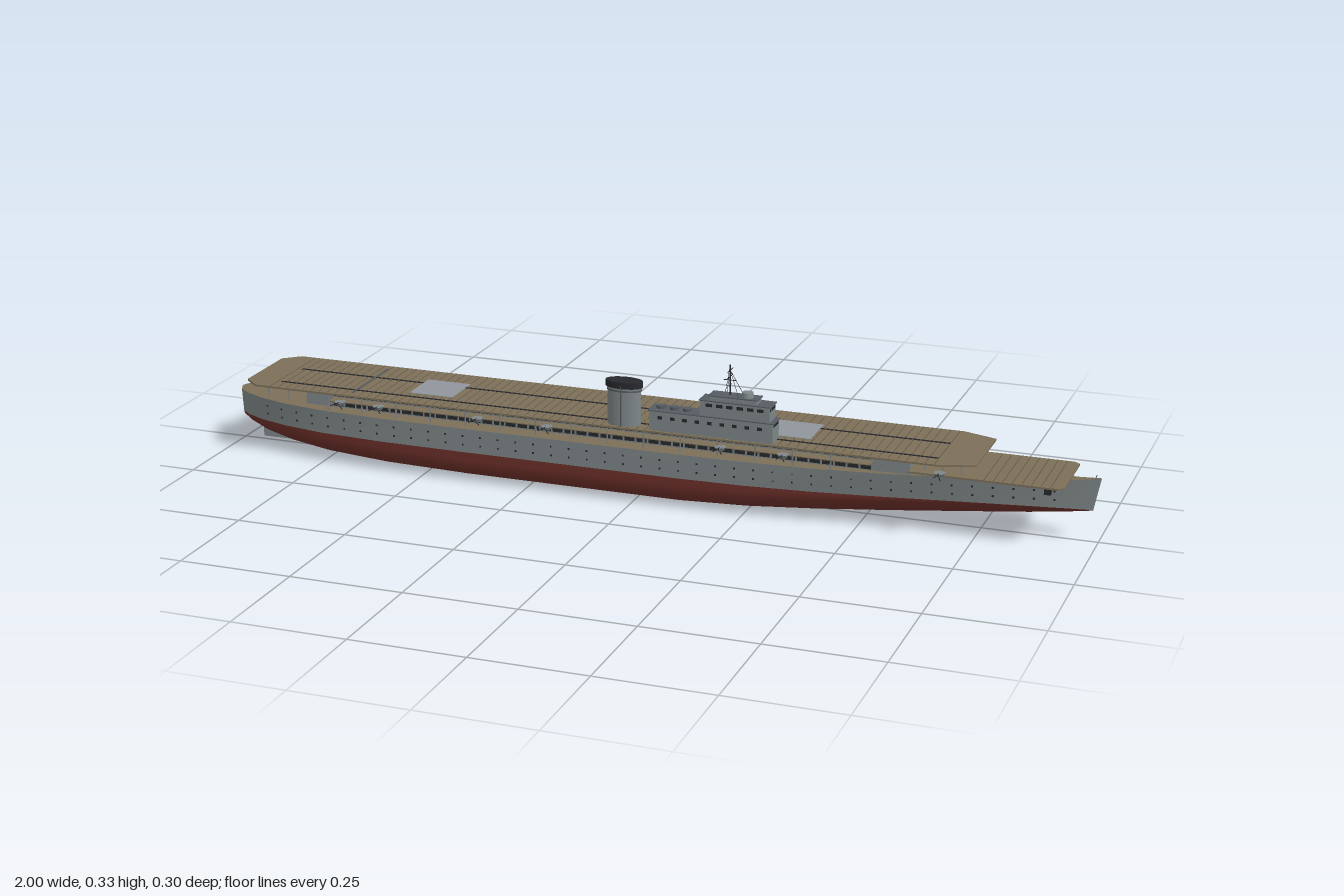
import * as THREE from 'three';

const mat = (name, color, extra = {}) => Object.assign(new THREE.MeshStandardMaterial({ color, ...extra }), { name });

export function createModel() {
  const grey = mat('hull grey', 0x7f8788, { side: THREE.DoubleSide });
  const red = mat('bottom red', 0x6e302a, { side: THREE.DoubleSide });
  const tan = mat('deck planking', 0x7c6f58, { side: THREE.DoubleSide });
  const seam = mat('deck seam', 0x5d5342);
  const pale = mat('lift grey', 0x8f969b);
  const roof = mat('roof grey', 0x565c63);
  const dark = mat('dark openings', 0x26282b);

  const ship = new THREE.Group();
  ship.name = 'carrier';
  const add = (name, geo, material, x = 0, y = 0, z = 0, parent = ship) => {
    const m = new THREE.Mesh(geo, material);
    m.name = name;
    m.position.set(x, y, z);
    parent.add(m);
    return m;
  };
  // box given by its extents
  const box = (name, m, x0, x1, y0, y1, z0, z1) =>
    add(name, new THREE.BoxGeometry(x1 - x0, y1 - y0, z1 - z0), m, (x0 + x1) / 2, (y0 + y1) / 2, (z0 + z1) / 2);
  const rod = (name, m, a, b, r) => {
    const A = new THREE.Vector3(...a), B = new THREE.Vector3(...b);
    const mesh = add(name, new THREE.CylinderGeometry(r, r, A.distanceTo(B), 6), m);
    mesh.position.copy(A).lerp(B, 0.5);
    mesh.quaternion.setFromUnitVectors(new THREE.Vector3(0, 1, 0), B.sub(A).normalize());
    return mesh;
  };
  // skin stretched over equal-length rows of points
  const loft = (rows) => {
    const n = rows[0].length, idx = [];
    for (let i = 0; i < rows.length - 1; i++) for (let j = 0; j < n - 1; j++) {
      const a = i * n + j, b = a + n;
      idx.push(a, a + 1, b, a + 1, b + 1, b);
    }
    const g = new THREE.BufferGeometry();
    g.setAttribute('position', new THREE.Float32BufferAttribute(rows.flat(2), 3));
    g.setIndex(idx);
    g.computeVertexNormals();
    return g;
  };
  // horizontal plate from an (x, z) outline
  const plate = (name, m, pts, y, thick) => {
    const s = new THREE.Shape(pts.map(([x, z]) => new THREE.Vector2(x, -z)));
    const g = new THREE.ExtrudeGeometry(s, { depth: thick, bevelEnabled: false });
    g.rotateX(-Math.PI / 2);
    return add(name, g, m, 0, y, 0);
  };

  // hull stations: x, half width at deck, half width at waterline, keel y, deck y, fullness
  const WL = 0.07;
  const stations = [
    [-1, 0.003, 0.001, 0.068, 0.125, 1.8],
    [-0.99, 0.026, 0.02, 0.056, 0.125, 1.8],
    [-0.965, 0.046, 0.04, 0.044, 0.125, 1.8],
    [-0.92, 0.068, 0.062, 0.028, 0.125, 1.9],
    [-0.85, 0.09, 0.084, 0.014, 0.125, 2],
    [-0.75, 0.106, 0.102, 0.005, 0.125, 2.3],
    [-0.6, 0.114, 0.112, 0.001, 0.125, 2.8],
    [-0.4, 0.115, 0.114, 0, 0.125, 3.2],
    [0.1, 0.115, 0.114, 0, 0.125, 3.2],
    [0.25, 0.112, 0.109, 0.002, 0.125, 2.7],
    [0.4, 0.103, 0.095, 0.008, 0.125, 2.1],
    [0.55, 0.085, 0.073, 0.018, 0.126, 1.7],
    [0.7, 0.06, 0.047, 0.032, 0.128, 1.4],
    [0.85, 0.031, 0.022, 0.049, 0.131, 1.2],
    [0.95, 0.011, 0.007, 0.062, 0.136, 1.1],
    [1, 0.001, 0.0005, 0.069, 0.142, 1],
  ];
  const rake = (x, y) => x > 0.9 ? x - (0.142 - y) * 0.2 * (x - 0.9) / 0.1 : x;
  const N = 24;
  add('hullBottom', loft(stations.map(([x, , w, k, , p]) => Array.from({ length: N + 1 }, (_, j) => {
    const a = Math.PI * j / N, c = Math.cos(a);
    const y = WL - (WL - k) * Math.pow(Math.abs(Math.sin(a)), 2 / p);
    return [rake(x, y), y, Math.sign(c) * w * Math.pow(Math.abs(c), 2 / p)];
  }))), red);
  for (const s of [1, -1]) {
    const rows = stations.map(([x, wd, ww, , d]) => {
      const r = [[x, d, s * wd], [rake(x, WL), WL, s * ww]];
      return s > 0 ? r : r.reverse();
    });
    add(s > 0 ? 'hullSideLeft' : 'hullSideRight', loft(rows), grey);
  }
  add('mainDeck', loft(stations.map(([x, w, , , d]) => [[x, d, -w], [x, d, w]])), tan);
  box('rudder', grey, -0.95, -0.88, 0.008, 0.05, -0.003, 0.003);

  // portholes follow the hull side
  const halfAt = (x, y) => {
    const i = Math.max(1, stations.findIndex((t) => t[0] >= x));
    const a = stations[i - 1], b = stations[i], t = (x - a[0]) / (b[0] - a[0]);
    const f = (y - WL) / (0.128 - WL);
    return THREE.MathUtils.lerp(THREE.MathUtils.lerp(a[2], b[2], t), THREE.MathUtils.lerp(a[1], b[1], t), f);
  };
  const port = new THREE.BoxGeometry(0.004, 0.004, 0.002);
  for (const y of [0.088, 0.108]) {
    const count = 44, im = new THREE.Group();
    im.name = 'portholes';
    ship.add(im);
    for (let i = 0; i < count; i++) for (const s of [1, -1]) {
      const x = -0.9 + i * 0.042;
      add('porthole', port, dark, x, y, s * halfAt(x, y), im);
    }
  }
  for (const s of [1, -1]) box('anchor', dark, 0.885, 0.9, 0.1, 0.112, s * 0.021 - 0.004, s * 0.021 + 0.004);

  // hangar with two rows of openings and a gallery walkway
  box('hangar', grey, -0.8, 0.61, 0.124, 0.167, -0.072, 0.072);
  for (const s of [1, -1]) {
    box('gallery', tan, -0.73, 0.53, 0.146, 0.148, s * 0.086 - 0.014, s * 0.086 + 0.014);
    for (let i = 0; i < 45; i++) {
      const x = -0.73 + i * 0.028;
      box('lowerOpening', dark, x, x + 0.023, 0.128, 0.144, s * 0.0725 - 0.001, s * 0.0725 + 0.001);
      box('upperOpening', dark, x, x + 0.023, 0.151, 0.163, s * 0.0725 - 0.001, s * 0.0725 + 0.001);
      if (i % 3 === 0) box('galleryPost', grey, x - 0.004, x - 0.001, 0.124, 0.167, s * 0.098 - 0.001, s * 0.098 + 0.001);
    }
    // forward and after deck supports
    for (const x of [0.64, 0.68, 0.72]) rod('deckPost', grey, [x, 0.135, s * 0.07], [x, 0.168, s * 0.07], 0.0015);
    for (const x of [-0.9, -0.85]) rod('deckPost', grey, [x, 0.124, s * 0.06], [x, 0.168, s * 0.06], 0.002);
    for (const x of [0.74, 0.82, 0.9]) rod('foredeckPost', grey, [x, 0.12, s * 0.015], [x, 0.136, s * 0.06], 0.0015);
    // side booms and gun platforms
    for (const x of [-0.7, -0.605, -0.365, -0.2, 0.2, 0.34, 0.68]) {
      rod('boom', dark, [x, 0.147, s * 0.09], [x, 0.155, s * 0.152], 0.0011);
      rod('boomStay', dark, [x, 0.13, s * 0.095], [x, 0.15, s * 0.118], 0.001);
      add('gunPlatform', new THREE.CylinderGeometry(0.013, 0.008, 0.008, 12), grey, x, 0.146, s * 0.103);
    }
  }

  // flight deck and lower fore deck
  const mirrored = (half) => [...half, ...half.slice().reverse().map(([x, z]) => [x, -z])];
  plate('flightDeck', tan, mirrored([[-0.942, 0.083], [-0.905, 0.115], [0.68, 0.115], [0.755, 0.09]]), 0.167, 0.004);
  plate('foreDeck', tan, mirrored([[0.61, 0.09], [0.925, 0.09], [0.938, 0.08]]), 0.136, 0.004);
  for (let i = 0; i < 78; i++) {
    const x = -0.87 + i * 0.02;
    box('plankSeam', seam, x, x + 0.0015, 0.171, 0.1713, -0.112, 0.112);
  }
  for (let x = 0.77; x < 0.92; x += 0.02) box('foreSeam', seam, x, x + 0.0015, 0.14, 0.1403, -0.087, 0.087);
  for (const z of [-0.026, 0.074]) box('deckTrack', dark, -0.86, 0.67, 0.171, 0.1718, z - 0.003, z + 0.003);
  box('arresterLine', roof, -0.676, -0.671, 0.171, 0.1719, -0.092, 0.092);
  for (const x of [-0.5, 0.332]) box('lift', pale, x - 0.052, x + 0.052, 0.171, 0.1722, -0.051, 0.051);

  // island: stacked tiers with darker roofs and window bands
  const tier = (x0, x1, y0, y1, z0, z1) => {
    box('islandTier', grey, x0, x1, y0, y1, z0, z1);
    box('islandRoof', roof, x0 - 0.003, x1 + 0.003, y1, y1 + 0.002, z0 - 0.002, z1 + 0.002);
  };
  tier(0.04, 0.318, 0.17, 0.215, 0.065, 0.109);
  tier(0.155, 0.31, 0.217, 0.25, 0.066, 0.107);
  tier(0.175, 0.28, 0.252, 0.261, 0.07, 0.103);
  for (let i = 0; i < 9; i++) for (const z of [0.065, 0.109])
    box('islandWindow', dark, 0.06 + i * 0.028, 0.07 + i * 0.028, 0.198, 0.205, z - 0.001, z + 0.001);
  for (let i = 0; i < 6; i++) for (const z of [0.066, 0.107])
    box('bridgeWindow', dark, 0.168 + i * 0.023, 0.182 + i * 0.023, 0.238, 0.245, z - 0.001, z + 0.001);
  for (let i = 0; i < 4; i++) for (const [x, y] of [[0.318, 0.206], [0.31, 0.24]])
    box('frontWindow', dark, x - 0.001, x + 0.001, y, y + 0.006, 0.07 + i * 0.0095, 0.076 + i * 0.0095);
  for (const x of [0.06, 0.09, 0.12]) add('gunTub', new THREE.CylinderGeometry(0.01, 0.01, 0.007, 12), roof, x, 0.22, 0.087);
  add('director', new THREE.CylinderGeometry(0.012, 0.014, 0.012, 14), grey, 0.255, 0.268, 0.087);

  // funnel, oval in plan, with dark cap
  const oval = (name, m, y0, y1, r, inner) => {
    const mid = add(name, new THREE.CylinderGeometry(r, r, y1 - y0, 28), m, -0.025, (y0 + y1) / 2, 0.086);
    mid.scale.z = inner;
  };
  oval('funnel', grey, 0.17, 0.256, 0.038, 0.57);
  oval('funnelBand', roof, 0.248, 0.252, 0.0395, 0.57);
  oval('funnelCap', dark, 0.256, 0.27, 0.042, 0.55);
  for (const s of [1, -1]) rod('funnelPipe', roof, [-0.025, 0.17, 0.086 + s * 0.022], [-0.025, 0.262, 0.086 + s * 0.022], 0.0015);

  // mast, yards and rigging
  rod('mast', dark, [0.215, 0.26, 0.086], [0.215, 0.33, 0.086], 0.0016);
  for (const [y, h] of [[0.318, 0.018], [0.304, 0.018], [0.285, 0.01]])
    rod('yard', dark, [0.215, y, 0.086 - h], [0.215, y, 0.086 + h], 0.0009);
  rod('yardFore', dark, [0.2, 0.296, 0.086], [0.23, 0.296, 0.086], 0.0009);
  for (const s of [1, -1]) rod('stay', dark, [0.215, 0.318, 0.086], [0.24, 0.262, 0.086 + s * 0.016], 0.0005);
  rod('aerial', dark, [0.21, 0.318, 0.075], [0.165, 0.171, 0], 0.0005);
  rod('aerialLower', dark, [0.21, 0.3, 0.08], [0.185, 0.171, 0.04], 0.0005);
  // foredeck jackstaff
  rod('jackstaff', dark, [0.985, 0.135, 0], [0.99, 0.148, 0], 0.0008);
  return ship;
}
